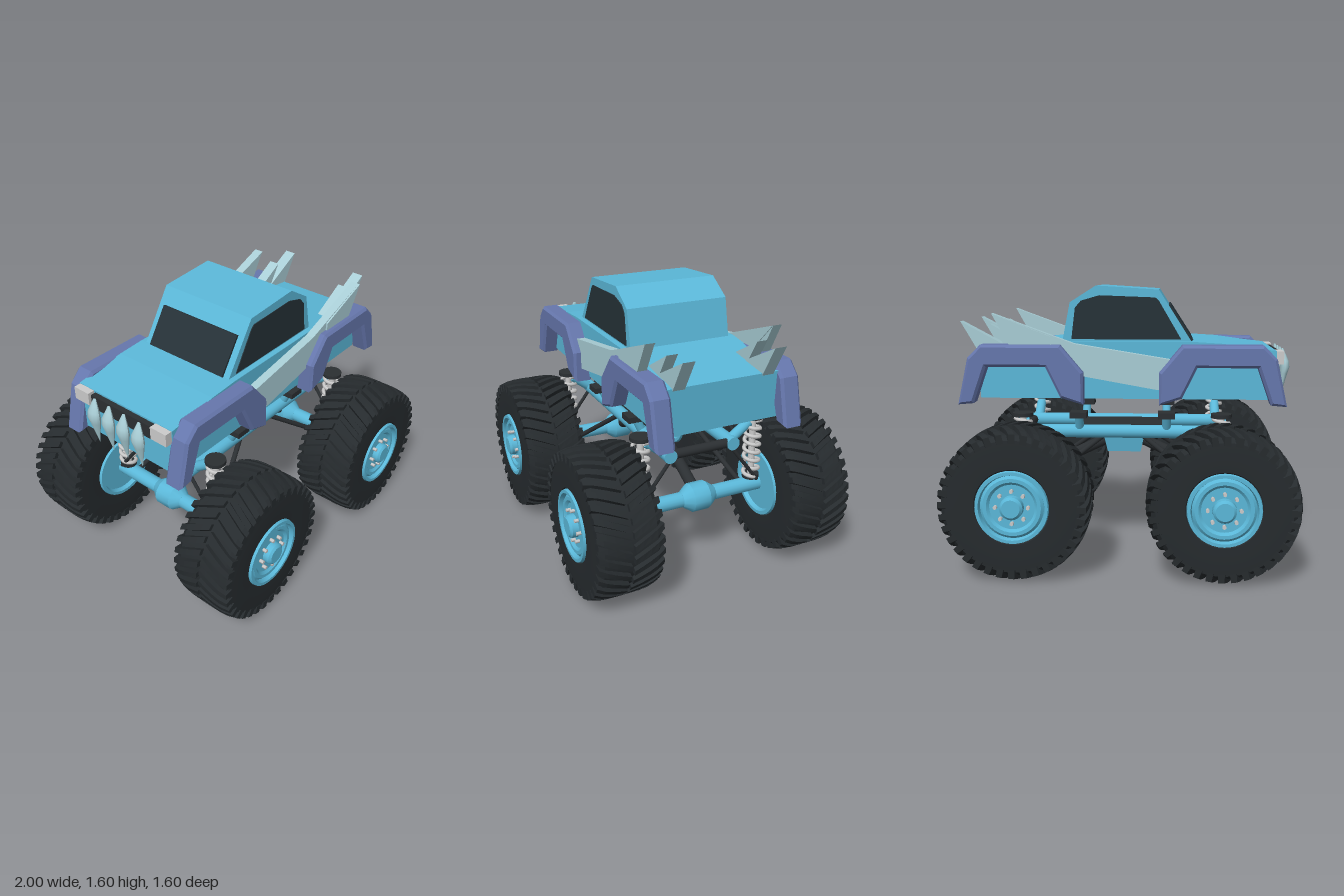
import * as THREE from 'three';
import { mergeGeometries, toCreasedNormals } from 'three/addons/utils/BufferGeometryUtils.js';

const mat = (color) => new THREE.MeshStandardMaterial({ color, side: THREE.DoubleSide });
const BLUE = mat(0x5bb8d9), PURPLE = mat(0x6677ad), RUBBER = mat(0x262b2e), BLACK = mat(0x2b2f32);
const GLASS = mat(0x263238), HORN = mat(0xa9ced6), SILVER = mat(0xcccccc);
const V = (x, y, z) => new THREE.Vector3(x, y, z);
const AX = 0.573, AY = 0.435; // axle position

export function createModel() {
  const root = new THREE.Group();
  root.name = 'monsterTruck';

  const add = (name, geo, material, x = 0, y = 0, z = 0, parent = root) => {
    const m = new THREE.Mesh(geo, material);
    m.name = name;
    m.position.set(x, y, z);
    parent.add(m);
    return m;
  };
  // side profile in x/y, extruded from z0 to z1
  const slab = (name, pts, z0, z1, material, bevel = 0) => {
    const shape = new THREE.Shape(pts.map((p) => new THREE.Vector2(p[0], p[1])));
    const geo = new THREE.ExtrudeGeometry(shape, {
      depth: z1 - z0 - 2 * bevel, bevelEnabled: bevel > 0, bevelSize: bevel,
      bevelThickness: bevel, bevelOffset: -bevel, bevelSegments: 1,
    });
    return add(name, geo, material, 0, 0, z0 + bevel);
  };
  // round bar between two points
  const bar = (name, a, b, r, material) => {
    const d = b.clone().sub(a);
    const m = add(name, new THREE.CylinderGeometry(r, r, d.length(), 16), material);
    m.position.copy(a).addScaledVector(d, 0.5);
    m.quaternion.setFromUnitVectors(V(0, 1, 0), d.normalize());
    return m;
  };
  const both = (fn) => [1, -1].forEach(fn);
  const slabs = (name, pts, z0, z1, material, bevel) =>
    both((s) => slab(name, pts, s > 0 ? z0 : -z1, s > 0 ? z1 : -z0, material, bevel));

  // body shell and cab (truck nose points to -x)
  slab('body', [[-0.88, 0.97], [0.82, 0.97], [0.835, 1.24], [0.34, 1.3], [-0.4, 1.3], [-0.57, 1.29], [-0.88, 1.25]],
    -0.345, 0.345, BLUE);
  slab('cab', [[-0.4, 1.295], [0.345, 1.295], [0.3, 1.52], [0.15, 1.615], [-0.21, 1.592]], -0.31, 0.31, BLUE);
  slabs('sideWindow', [[-0.34, 1.31], [0.292, 1.31], [0.27, 1.49], [0.235, 1.53], [0.13, 1.56], [-0.19, 1.548], [-0.21, 1.53]],
    0.305, 0.315, GLASS);
  slab('windshield', [[-0.41, 1.305], [-0.395, 1.295], [-0.265, 1.5], [-0.28, 1.505]], -0.27, 0.27, GLASS);

  // fenders
  const arch = [[0.215, 0.945], [0.345, 0.985], [0.43, 1.16], [0.77, 1.16], [0.845, 0.95],
    [0.935, 0.942], [0.875, 1.21], [0.8, 1.285], [0.345, 1.285], [0.215, 1.13]];
  both((e) => slabs('fender', arch.map(([x, y]) => [e * x, y]), 0.325, 0.44, PURPLE, 0.015));

  // side blades and bed spikes
  slabs('sideBlade', [[-0.29, 1.02], [-0.2, 1.03], [0.36, 1.13], [0.64, 1.25], [0.56, 1.285], [0.735, 1.46],
    [0.27, 1.29], [-0.29, 1.2]], 0.345, 0.395, HORN);
  slabs('innerBladeTip', [[0.4, 1.17], [0.62, 1.25], [0.735, 1.46], [0.4, 1.33]], 0.35, 0.405, HORN);
  slabs('frontBedSpike', [[0.51, 1.25], [0.66, 1.23], [0.765, 1.395]], 0.235, 0.3, HORN);
  slabs('rearBedSpike', [[0.62, 1.24], [0.83, 1.22], [0.94, 1.41]], 0.23, 0.3, HORN);

  // nose: grille bar, lamps, teeth
  add('grille', new THREE.BoxGeometry(0.045, 0.08, 0.44), BLACK, -0.89, 1.2, 0);
  both((s) => add('headlamp', new THREE.BoxGeometry(0.045, 0.075, 0.11), SILVER, -0.9, 1.21, s * 0.285));
  for (let i = 0; i < 4; i++) {
    const tooth = new THREE.CylinderGeometry(1, 1, 0.29, 10, 8);
    const p = tooth.attributes.position;
    for (let k = 0; k < p.count; k++) {
      const t = p.getY(k) / 0.29 + 0.5;
      const w = t < 0.68 ? t / 0.68 : 1 - (t - 0.68) / 0.4;
      p.setX(k, p.getX(k) * 0.03 * w - 0.024 * w);
      p.setZ(k, p.getZ(k) * 0.048 * w);
    }
    tooth.computeVertexNormals();
    add('grilleTooth', tooth, HORN, -0.93, 1.105, -0.165 + i * 0.11);
  }

  // chassis rails, cross bars and gearbox
  both((s) => {
    bar('frameRail', V(-0.63, 0.75, s * 0.2), V(0.63, 0.75, s * 0.2), 0.04, BLUE);
    both((e) => {
      bar('bodyMount', V(e * 0.26, 0.75, s * 0.2), V(e * 0.26, 0.86, s * 0.25), 0.026, BLUE);
      add('mountPad', new THREE.BoxGeometry(0.1, 0.035, 0.1), BLACK, e * 0.26, 0.862, s * 0.26);
      bar('shockTower', V(e * AX, 0.75, s * 0.2), V(e * AX, 0.845, s * 0.33), 0.03, BLUE);
    });
  });
  [-0.6, -0.26, 0.26, 0.6].forEach((x) => bar('crossBar', V(x, 0.75, -0.2), V(x, 0.75, 0.2), 0.028, BLACK));
  add('skidPlate', new THREE.BoxGeometry(0.52, 0.06, 0.26), BLACK, 0, 0.75, 0);
  const box = new THREE.CylinderGeometry(0.16, 0.125, 0.13, 4).toNonIndexed();
  box.rotateY(Math.PI / 4);
  box.computeVertexNormals();
  add('gearbox', box, BLUE, 0, 0.665, 0).scale.set(1.15, 1, 0.9);

  // axles, drive shafts, links and springs
  both((e) => {
    const x = e * AX;
    bar('axle', V(x, AY, -0.41), V(x, AY, 0.41), 0.045, BLUE);
    const diff = new THREE.LatheGeometry([[0, -0.105], [0.045, -0.105], [0.085, -0.05], [0.085, 0.05], [0.045, 0.105], [0, 0.105]]
      .map((p) => new THREE.Vector2(p[0], p[1])), 12).rotateX(Math.PI / 2);
    add('differential', toCreasedNormals(diff, 0.6), BLUE, x, AY, 0);
    bar('driveShaft', V(e * 0.1, 0.67, 0), V(e * 0.52, 0.47, 0), 0.034, BLACK);
    both((s) => {
      bar('trailingLink', V(e * 0.12, 0.72, s * 0.18), V(x - e * 0.03, 0.41, s * 0.33), 0.015, BLACK);
      bar('swayLink', V(x + e * 0.04, 0.73, s * 0.19), V(x + e * 0.04, 0.48, s * 0.38), 0.011, BLACK);
      const helix = new THREE.Curve();
      helix.getPoint = (t, v = new THREE.Vector3()) =>
        v.set(0.045 * Math.cos(t * 14 * Math.PI), 0.36 * t, 0.045 * Math.sin(t * 14 * Math.PI));
      add('coilSpring', new THREE.TubeGeometry(helix, 140, 0.012, 6), SILVER, x, 0.5, s * 0.36);
      bar('damper', V(x, 0.47, s * 0.36), V(x, 0.87, s * 0.36), 0.02, SILVER);
      add('springCap', new THREE.CylinderGeometry(0.06, 0.06, 0.022, 20), BLACK, x, 0.878, s * 0.36);
      add('springSeat', new THREE.CylinderGeometry(0.05, 0.05, 0.025, 20), BLACK, x, 0.495, s * 0.36);
    });
  });

  // wheels
  const turned = (pts, n) => toCreasedNormals(
    new THREE.LatheGeometry(pts.map((p) => new THREE.Vector2(p[0], p[1])), n).rotateX(Math.PI / 2), 0.5);
  const tyre = turned([[0.19, -0.16], [0.21, -0.18], [0.3, -0.183], [0.37, -0.178], [0.395, -0.15], [0.4, 0],
    [0.395, 0.15], [0.37, 0.178], [0.3, 0.183], [0.21, 0.18], [0.19, 0.16]], 48);
  const rim = turned([[0, 0.165], [0.125, 0.165], [0.14, 0.178], [0.16, 0.178], [0.175, 0.165], [0.182, 0.192],
    [0.2, 0.192], [0.205, 0.17], [0.2, 0], [0.205, -0.17], [0.2, -0.19], [0.18, -0.19], [0.17, -0.165], [0, -0.165]], 40);
  const hub = turned([[0, 0.212], [0.05, 0.212], [0.064, 0.2], [0.066, 0.16]], 20);

  // chevron lugs, bent around the tyre in polar coordinates
  const treadFor = (slant) => {
    const lugs = [];
    for (let i = 0; i < 36; i++) both((s) => {
      const g = new THREE.BoxGeometry(0.095, 1, 1, 1, 1, 4);
      const p = g.attributes.position;
      for (let k = 0; k < p.count; k++) {
        const t = s * p.getZ(k) + 0.5, top = p.getY(k) > 0;
        const a = (i + (s > 0 ? 0 : 0.5)) * Math.PI / 18 + p.getX(k) * (top ? 0.85 : 1.1) + slant * 0.2 * t;
        const r = top ? 0.425 - 0.02 * t ** 4 : 0.385 - 0.03 * t ** 4;
        p.setXYZ(k, r * Math.cos(a), r * Math.sin(a), s * (0.008 + 0.177 * t));
      }
      const flat = g.toNonIndexed();
      flat.computeVertexNormals();
      lugs.push(flat);
    });
    return mergeGeometries(lugs);
  };

  both((s) => {
    const tread = treadFor(s);
    both((e) => {
      const wheel = new THREE.Group();
      wheel.name = 'wheel';
      wheel.position.set(e * AX, AY, s * 0.588);
      if (s < 0) wheel.rotation.y = Math.PI;
      root.add(wheel);
      add('tyre', tyre, RUBBER, 0, 0, 0, wheel);
      add('tread', tread, RUBBER, 0, 0, 0, wheel);
      add('rim', rim, BLUE, 0, 0, 0, wheel);
      add('hub', hub, BLUE, 0, 0, 0, wheel);
      for (let i = 0; i < 8; i++) {
        const a = i * Math.PI / 4;
        add('wheelNut', new THREE.CylinderGeometry(0.011, 0.011, 0.03, 6).rotateX(Math.PI / 2), SILVER,
          0.09 * Math.cos(a), 0.09 * Math.sin(a), 0.175, wheel);
      }
    });
  });
  return root;
}
